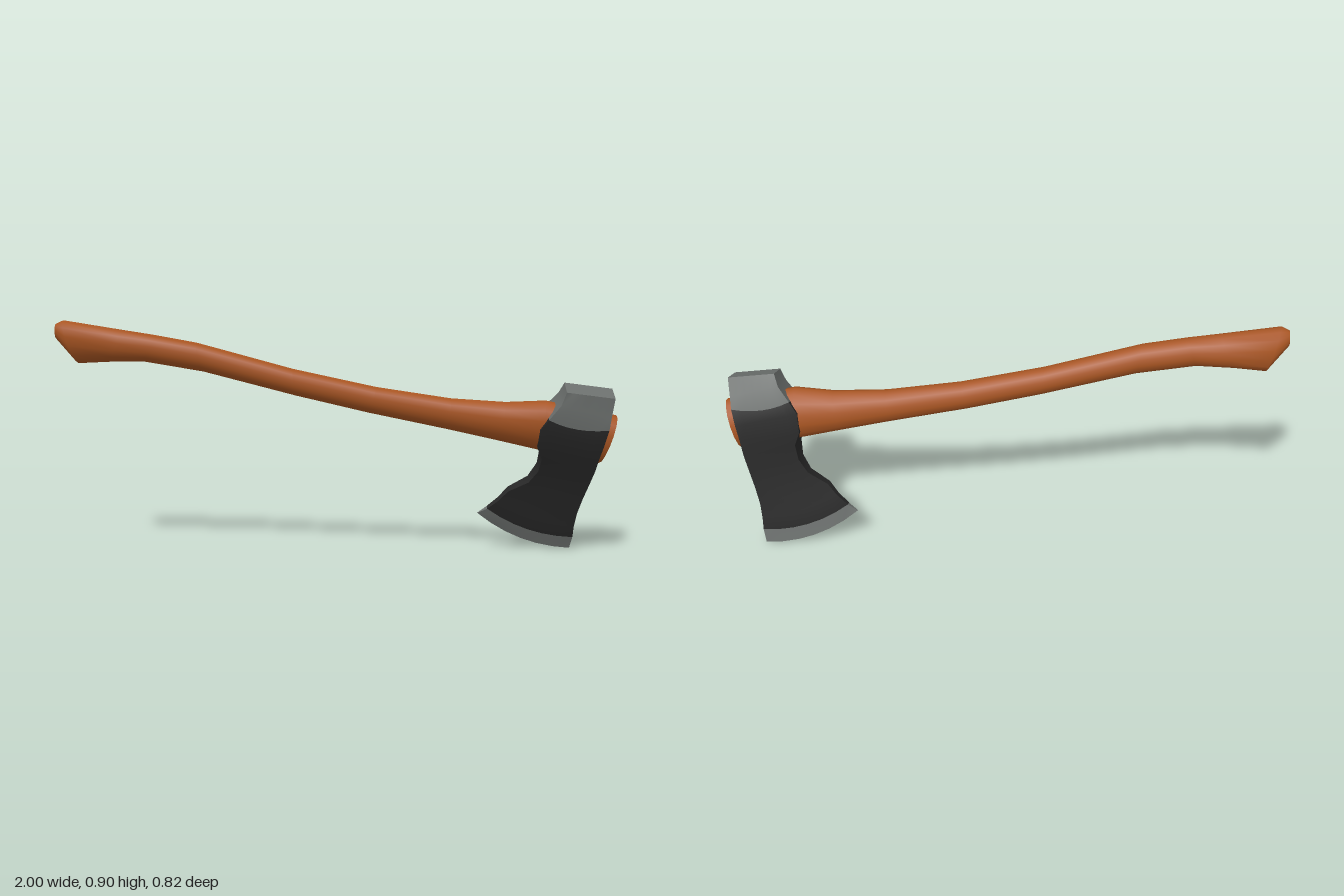
import * as THREE from 'three';
import { toCreasedNormals } from 'three/addons/utils/BufferGeometryUtils.js';

const wood = new THREE.MeshStandardMaterial({ color: 0xa85522 });
wood.name = 'wood';
const steel = new THREE.MeshStandardMaterial({ color: 0x6c706e });
steel.name = 'steel';
const blackened = new THREE.MeshStandardMaterial({ color: 0x282828 });
blackened.name = 'blackened steel';

// Skins a list of equal-length rings and caps both ends; materialOf(row) picks a material index.
function loft(rings, crease, materialOf = () => 0) {
  const n = rings[0].length, last = (rings.length - 1) * n;
  const index = [];
  const geometry = new THREE.BufferGeometry();
  const close = (start, material) => geometry.addGroup(start, index.length - start, material);
  for (let k = 1; k < n - 1; k++) index.push(0, k, k + 1);
  close(0, materialOf(0));
  for (let i = 0; i < rings.length - 1; i++) {
    const start = index.length;
    for (let j = 0; j < n; j++) {
      const a = i * n + j, b = i * n + (j + 1) % n;
      index.push(a, a + n, b, b, a + n, b + n);
    }
    close(start, materialOf(i));
  }
  const start = index.length;
  for (let k = 1; k < n - 1; k++) index.push(last, last + k + 1, last + k);
  close(start, materialOf(rings.length - 2));
  geometry.setAttribute('position', new THREE.Float32BufferAttribute(rings.flat(2), 3));
  geometry.setIndex(index);
  return toCreasedNormals(geometry, crease);
}

// Handle rings: top point (x, y), bottom point (x, y), half thickness
const handleRows = [
  [-2.103, -0.150, -2.09, -0.205, 0.020],
  [-2.080, -0.129, -1.99, -0.278, 0.044],
  [-1.860, -0.103, -1.88, -0.238, 0.046],
  [-1.740, -0.088, -1.75, -0.198, 0.044],
  [-1.580, -0.072, -1.53, -0.173, 0.042],
  [-1.210, -0.070, -1.17, -0.167, 0.041],
  [-0.890, -0.050, -0.89, -0.155, 0.041],
  [-0.610, -0.013, -0.58, -0.133, 0.044],
  [-0.410, 0.032, -0.39, -0.122, 0.053],
  [-0.270, 0.081, -0.23, -0.114, 0.062],
  [0.002, 0.100, 0.002, -0.100, 0.064],
];

function handleRing([xt, yt, xb, yb, half]) {
  return Array.from({ length: 14 }, (_, k) => {
    const angle = (k / 14) * Math.PI * 2;
    const v = (1 + Math.sin(angle)) / 2;
    return [xb + (xt - xb) * v, yb + (yt - yb) * v, half * Math.cos(angle)];
  });
}

// Head rows, poll to cutting edge: grip-side (x, y), far-side (x, y), sag, half thickness
const headRows = [
  [-0.220, 0.155, -0.043, 0.183, 0, 0.046],
  [-0.224, 0.105, -0.032, 0.110, 0, 0.060],
  [-0.250, 0.040, -0.025, 0.065, 0.018, 0.070],
  [-0.266, -0.010, -0.020, 0.000, 0, 0.070],
  [-0.250, -0.085, -0.015, -0.065, 0, 0.061],
  [-0.216, -0.130, -0.008, -0.125, 0, 0.050],
  [-0.208, -0.190, -0.005, -0.190, 0, 0.037],
  [-0.225, -0.250, -0.004, -0.260, 0, 0.028],
  [-0.285, -0.315, 0.000, -0.330, 0.01, 0.020],
  [-0.305, -0.365, 0.010, -0.390, 0.02, 0.016],
  [-0.335, -0.415, 0.022, -0.437, 0.03, 0.012],
  [-0.364, -0.450, 0.030, -0.493, 0.036, 0.001],
];

function headRing([xb, yb, xf, yf, sag, half]) {
  const cols = 6;
  const side = Array.from({ length: cols + 1 }, (_, k) => {
    const u = k / cols;
    return [xb + (xf - xb) * u, yb + (yf - yb) * u - sag * 4 * u * (1 - u), half];
  });
  return [...side, ...side.map(([x, y, z]) => [x, y, -z]).reverse()];
}

export function createModel() {
  const model = new THREE.Group();
  model.name = 'axe';

  const handle = new THREE.Mesh(loft(handleRows.map(handleRing), 0.9), wood);
  handle.name = 'handle';

  // Bright poll, blackened cheeks, bright bevel
  const headMaterial = (row) => (row < 2 || row === headRows.length - 2 ? 0 : 1);
  const head = new THREE.Mesh(loft(headRows.map(headRing), 0.7, headMaterial), [steel, blackened]);
  head.name = 'axeHead';

  // Resting pose: handle axis, poll direction and cheek normal
  const pose = new THREE.Group();
  pose.name = 'tiltedAxe';
  const along = new THREE.Vector3(0.9, -0.27, -0.34).normalize();
  const side = along.clone().cross(new THREE.Vector3(0.36, 0.907, 0.217)).normalize();
  const up = side.clone().cross(along);
  pose.quaternion.setFromRotationMatrix(new THREE.Matrix4().makeBasis(along, up, side));
  pose.position.set(0.96, 0.455, -0.288);
  pose.add(handle, head);
  model.add(pose);
  return model;
}
